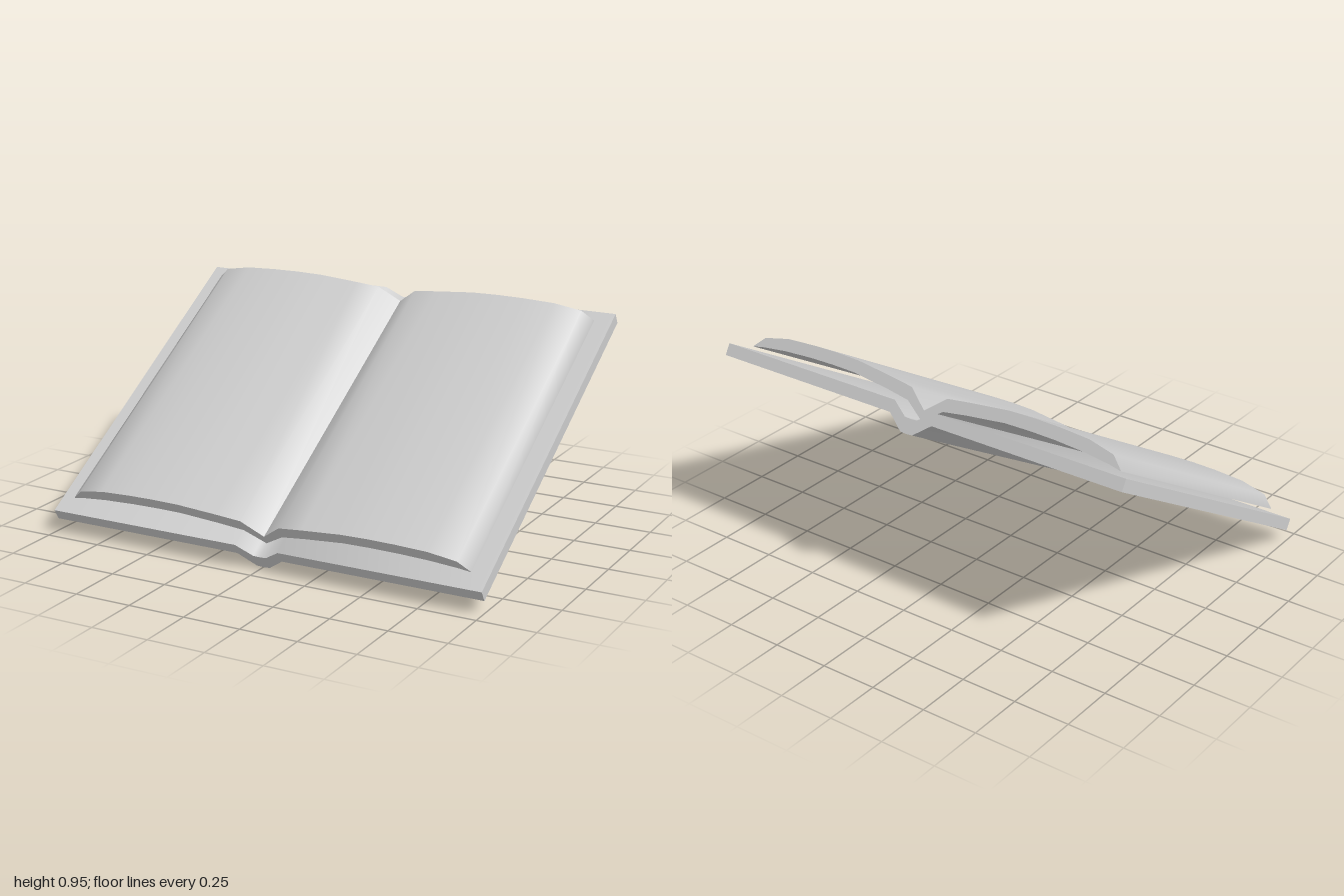
import * as THREE from 'three';
import { toCreasedNormals } from 'three/addons/utils/BufferGeometryUtils.js';

// Half profiles [x, height], from the spine outward; height 0 is the cover's flat inner face.
const coverTop = [[0, -0.052], [0.03, -0.05], [0.1, 0], [1, 0]];
const coverUnder = [[0, -0.114], [0.03, -0.112], [0.105, -0.052], [1, -0.052]];
const pageTop = [[0, -0.006], [0.09, 0.068], [0.2, 0.082], [0.38, 0.101], [0.5, 0.104],
  [0.62, 0.102], [0.76, 0.094], [0.88, 0.068], [0.93, 0.019]];
const pageUnder = [[0, -0.047], [0.09, 0.013], [0.2, 0.029], [0.38, 0.049], [0.5, 0.051],
  [0.62, 0.049], [0.76, 0.041], [0.88, 0.027], [0.93, 0.017]];

// Mirror a half profile into a full line from -x to +x.
function mirrored(half) {
  const left = half.slice(1).reverse().map(([x, y]) => [-x, y]);
  return [...left, ...half];
}

// Extrude the band between two lines along the height of the book.
function slab(name, top, under, start, length) {
  const outline = [...mirrored(under), ...mirrored(top).reverse()];
  const shape = new THREE.Shape(outline.map(([x, y]) => new THREE.Vector2(x, y)));
  const geometry = new THREE.ExtrudeGeometry(shape, { depth: length, bevelEnabled: false });
  geometry.translate(0, 0, -start - length);
  const material = new THREE.MeshStandardMaterial({ color: 0xcccccc });
  const mesh = new THREE.Mesh(toCreasedNormals(geometry, 0.9), material);
  mesh.name = name;
  return mesh;
}

export function createModel() {
  const model = new THREE.Group();
  model.name = 'openBook';

  // The book leans back, its lower edge toward the front.
  const book = new THREE.Group();
  book.name = 'tiltedBook';
  book.add(slab('cover', coverTop, coverUnder, 0, 1.57));
  book.add(slab('pages', pageTop, pageUnder, 0.072, 1.426));
  book.rotation.x = THREE.MathUtils.degToRad(30.8);
  book.position.set(0, 0.098, 0.703);
  model.add(book);
  return model;
}
